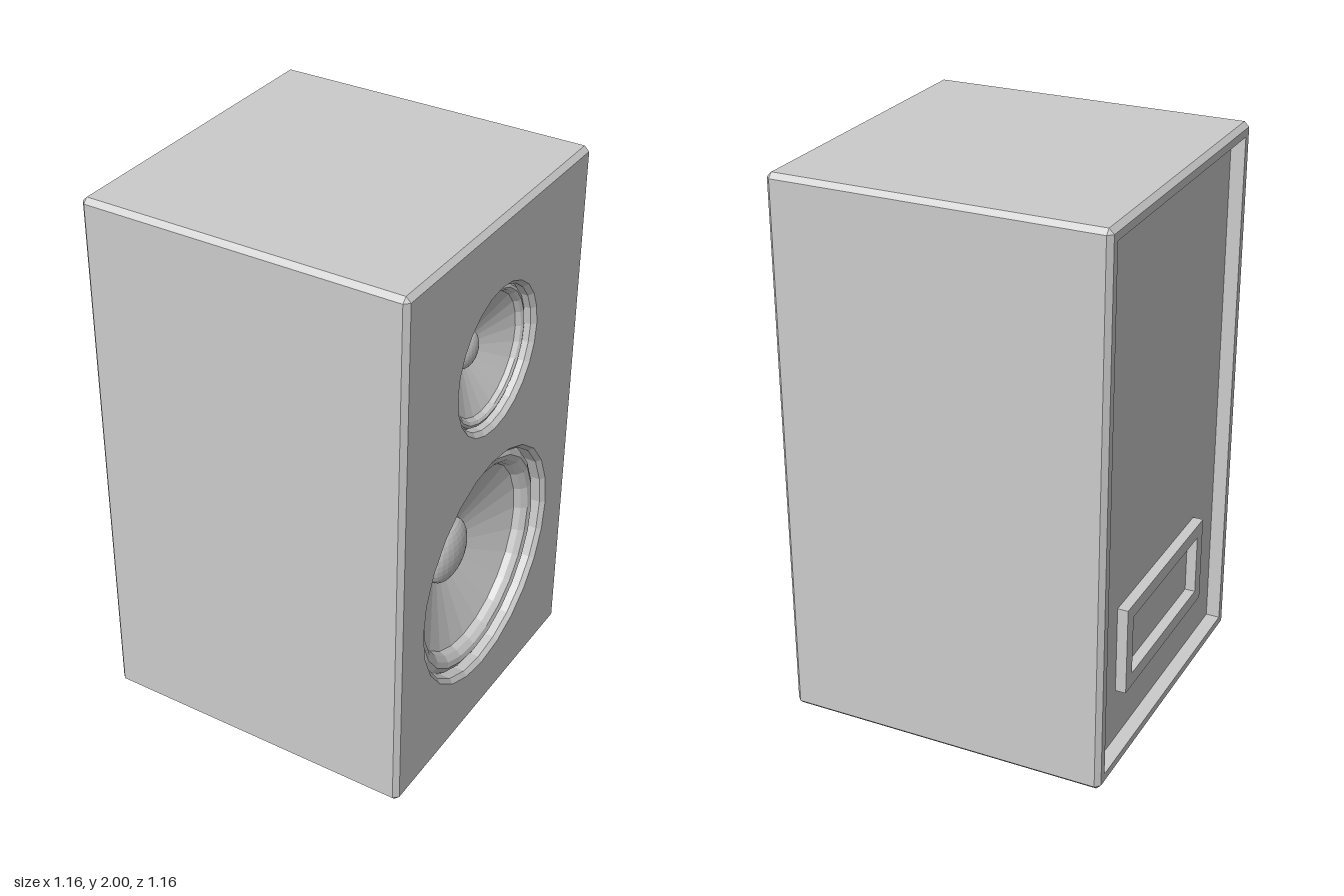
import * as THREE from 'three';

const material = new THREE.MeshStandardMaterial({ color: 0xcccccc, flatShading: true });
const HALF_Z = 0.58, HALF_Y = 0.977, MID_Y = 1.023, FACE_X = 0.58, BEVEL = 0.017;
const SEGMENTS = 24;

function part(name, geometry, parent, x = 0, y = 0, z = 0) {
  const mesh = new THREE.Mesh(geometry, material);
  mesh.name = name;
  mesh.position.set(x, y, z);
  parent.add(mesh);
  return mesh;
}

// Rectangle cross-section with chamfered corners, counterclockwise seen from +x
function section(x, inset) {
  const cut = Math.max(inset, BEVEL);
  const points = [];
  [[-1, 1], [1, 1], [1, -1], [-1, -1]].forEach(([sz, sy], k) => {
    const corner = [
      [x, sy * (HALF_Y - cut), sz * (HALF_Z - inset)],
      [x, sy * (HALF_Y - inset), sz * (HALF_Z - cut)],
    ];
    points.push(...(k % 2 ? corner.reverse() : corner));
  });
  return points;
}

// Skin joining consecutive cross-sections
function loft(sections) {
  const positions = sections.flat(2);
  const index = [];
  const n = sections[0].length;
  for (let s = 0; s < sections.length - 1; s++) {
    for (let i = 0; i < n; i++) {
      const a = s * n + i, b = s * n + (i + 1) % n;
      index.push(a, b, b + n, a, b + n, a + n);
    }
  }
  const geometry = new THREE.BufferGeometry();
  geometry.setAttribute('position', new THREE.Float32BufferAttribute(positions, 3));
  geometry.setIndex(index);
  geometry.computeVertexNormals();
  return geometry;
}

function rectangle(Type, halfW, halfH) {
  const shape = new Type();
  shape.moveTo(-halfW, -halfH);
  shape.lineTo(halfW, -halfH);
  shape.lineTo(halfW, halfH);
  shape.lineTo(-halfW, halfH);
  shape.closePath();
  return shape;
}

function circleHole(radius, y) {
  const points = [];
  for (let i = 0; i < SEGMENTS; i++) {
    const a = i / SEGMENTS * Math.PI * 2;
    points.push(new THREE.Vector2(Math.cos(a) * radius, y + Math.sin(a) * radius));
  }
  return new THREE.Path(points);
}

// Profiles are [radius, depth behind the baffle], from the rim inward
const drivers = [
  {
    name: 'tweeter', y: 1.497, domeRadius: 0.066, domeDepth: 0.12, domeHeight: 0.035,
    rim: [[0.26, 0], [0.245, 0.015], [0.245, 0.045]],
    surround: [[0.245, 0.045], [0.238, 0.034], [0.228, 0.03], [0.218, 0.036], [0.21, 0.052]],
    cone: [[0.21, 0.052], [0.055, 0.125], [0, 0.125]],
  },
  {
    name: 'woofer', y: 0.675, domeRadius: 0.12, domeDepth: 0.16, domeHeight: 0.05,
    rim: [[0.43, 0], [0.415, 0.015], [0.415, 0.06]],
    surround: [[0.415, 0.06], [0.405, 0.043], [0.385, 0.032], [0.365, 0.037], [0.348, 0.055], [0.34, 0.078]],
    cone: [[0.34, 0.078], [0.1, 0.168], [0, 0.168]],
  },
];

function makeDriver(d) {
  const group = new THREE.Group();
  group.name = d.name;
  for (const key of ['rim', 'surround', 'cone']) {
    const profile = d[key].map(([r, depth]) => new THREE.Vector2(r, -depth));
    const geometry = new THREE.LatheGeometry(profile, SEGMENTS).rotateZ(-Math.PI / 2);
    part(d.name + key[0].toUpperCase() + key.slice(1), geometry, group);
  }
  const dome = new THREE.SphereGeometry(d.domeRadius, 24, 16);
  dome.scale(d.domeHeight / d.domeRadius, 1, 1);
  part(d.name + 'DustCap', dome, group, -d.domeDepth);
  group.position.set(FACE_X, d.y, 0);
  return group;
}

export function createModel() {
  const model = new THREE.Group();
  model.name = 'loudspeaker';

  // Cabinet skin: recess wall, rear lip, bevelled sides, front bevel
  const recessX = -FACE_X + 0.05, lip = 0.045;
  part('cabinet', loft([
    section(recessX, lip),
    section(-FACE_X, lip),
    section(-FACE_X, BEVEL),
    section(-FACE_X + BEVEL, 0),
    section(FACE_X - BEVEL, 0),
    section(FACE_X, BEVEL),
  ]), model, 0, MID_Y, 0);

  // Baffle with driver openings
  const baffle = rectangle(THREE.Shape, HALF_Z - BEVEL, HALF_Y - BEVEL);
  for (const d of drivers) {
    baffle.holes.push(circleHole(d.rim[0][0], d.y - MID_Y));
    model.add(makeDriver(d));
  }
  part('baffle', new THREE.ShapeGeometry(baffle).rotateY(Math.PI / 2), model, FACE_X, MID_Y, 0);

  // Recessed rear panel with a raised terminal frame
  const panel = new THREE.PlaneGeometry((HALF_Z - lip) * 2, (HALF_Y - lip) * 2);
  part('rearPanel', panel.rotateY(-Math.PI / 2), model, recessX, MID_Y, 0);
  const frame = rectangle(THREE.Shape, 0.34, 0.16);
  frame.holes.push(rectangle(THREE.Path, 0.29, 0.11));
  const frameGeometry = new THREE.ExtrudeGeometry(frame, { depth: 0.037, bevelEnabled: false });
  part('terminalFrame', frameGeometry.rotateY(-Math.PI / 2), model, recessX, 0.445, 0);

  // Round feet
  for (const x of [-0.45, 0.45]) {
    for (const z of [-0.45, 0.45]) {
      part('foot', new THREE.SphereGeometry(0.05, 16, 12), model, x, 0.05, z);
    }
  }
  return model;
}
